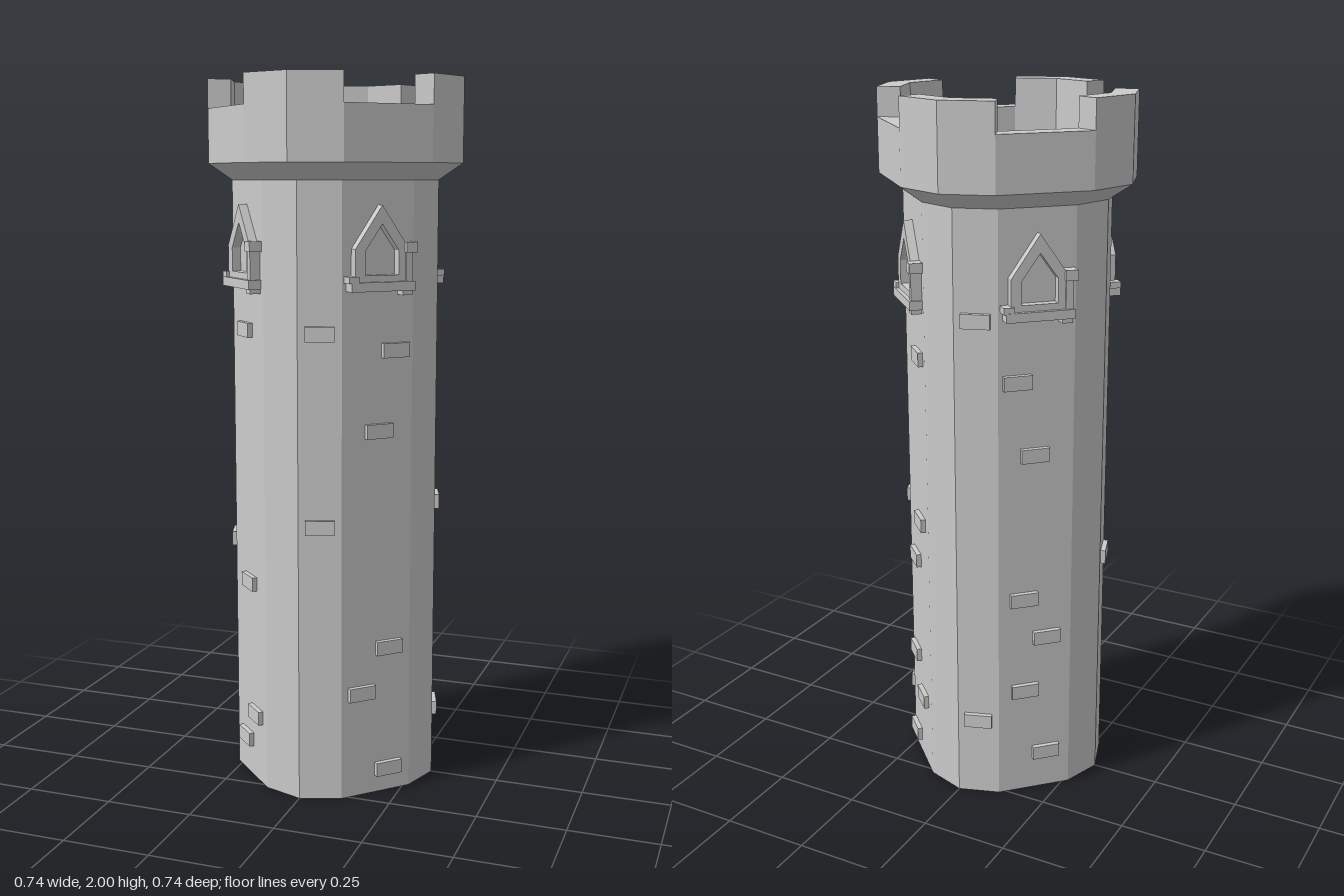
import * as THREE from 'three';

const material = new THREE.MeshStandardMaterial({ color: 0xcccccc, flatShading: true, side: THREE.DoubleSide });

// Twelve-sided plan as [x, z], starting at the front and turning towards +x
const quarter = [[0, 0.303], [0.113, 0.265], [0.265, 0.113]];
const plan = [];
for (let q = 0; q < 4; q++) {
  for (const [x, z] of quarter) {
    const c = Math.round(Math.cos(q * Math.PI / 2)), s = Math.round(Math.sin(q * Math.PI / 2));
    plan.push([x * c + z * s, z * c - x * s]);
  }
}
const CROWN = 1.225; // crown width relative to the shaft

function add(parent, name, geometry) {
  const mesh = new THREE.Mesh(geometry, material);
  mesh.name = name;
  parent.add(mesh);
  return mesh;
}

function box(parent, name, w, h, d, x, y, z) {
  return add(parent, name, new THREE.BoxGeometry(w, h, d)).position.set(x, y, z);
}

// Sweeps a [scale, height] profile round the plan
function loft(profile) {
  const positions = [];
  const n = plan.length;
  const point = (i, j) => {
    const [x, z] = plan[i % n], [s, y] = profile[j];
    return [x * s, y, z * s];
  };
  for (let j = 0; j < profile.length - 1; j++) {
    for (let i = 0; i < n; i++) {
      const a = point(i, j), b = point(i + 1, j), c = point(i + 1, j + 1), d = point(i, j + 1);
      if (profile[j][0] > 0) positions.push(...a, ...b, ...c);
      if (profile[j + 1][0] > 0) positions.push(...a, ...c, ...d);
      else if (profile[j][0] > 0) continue;
    }
  }
  const g = new THREE.BufferGeometry();
  g.setAttribute('position', new THREE.Float32BufferAttribute(positions, 3));
  g.computeVertexNormals();
  return g;
}

// Raised block of the parapet, spanning two narrow facets
function merlonGeometry() {
  const arc = [plan[11], plan[0], plan[1]];
  const pts = [
    ...arc.map(([x, z]) => new THREE.Vector2(x * CROWN, -z * CROWN)),
    ...arc.slice().reverse().map(([x, z]) => new THREE.Vector2(x, -z)),
  ];
  const g = new THREE.ExtrudeGeometry(new THREE.Shape(pts), { depth: 0.08, bevelEnabled: false });
  return g.rotateX(-Math.PI / 2).translate(0, 1.92, 0);
}

// House-shaped outline: half width, bottom, eaves and peak heights
function house(w, bottom, eaves, peak) {
  return [[-w, bottom], [w, bottom], [w, eaves], [0, peak], [-w, eaves]]
    .map(([x, y]) => new THREE.Vector2(x, y));
}

function addWindow(facet) {
  const win = new THREE.Group();
  win.name = 'window';
  facet.add(win);
  const shape = new THREE.Shape(house(0.08, 1.45, 1.545, 1.66));
  shape.holes.push(new THREE.Path(house(0.05, 1.475, 1.54, 1.61).reverse()));
  add(win, 'windowFrame', new THREE.ExtrudeGeometry(shape, { depth: 0.025, bevelEnabled: false }));
  box(win, 'windowSill', 0.19, 0.025, 0.036, 0, 1.445, 0.018);
  box(win, 'sillStone', 0.03, 0.016, 0.03, 0.075, 1.428, 0.015);
  box(win, 'cornerStone', 0.03, 0.018, 0.034, -0.087, 1.464, 0.017);
  box(win, 'jambStone', 0.02, 0.09, 0.03, 0.08, 1.5, 0.015);
  box(win, 'eavesStone', 0.034, 0.028, 0.036, 0.085, 1.548, 0.018);
}

// Per quarter turn: brick heights on the narrow facet, [across, height] on the wide one
const bricks = [
  { narrow: [1.32, 0.79], wide: [[0.052, 1.27], [0.003, 1.05], [0.038, 0.43], [-0.047, 0.305], [0.038, 0.07]] },
  { narrow: [0.815, 0.19], wide: [[0.045, 1.29], [0.038, 0.795], [-0.025, 0.66], [-0.047, 0.34], [0.03, 0.22], [-0.06, 0.06]] },
  { narrow: [1.43, 0.24], wide: [[-0.055, 1.26], [-0.005, 1.05], [-0.034, 0.62], [0.034, 0.495], [-0.03, 0.33], [0.034, 0.12]] },
  { narrow: [0.685], wide: [[-0.01, 1.315], [0.004, 0.59], [0.04, 0.2], [-0.03, 0.11]] },
];

export function createModel() {
  const tower = new THREE.Group();
  tower.name = 'tower';

  // Shaft, flared crown, parapet and sunken roof floor
  add(tower, 'towerShell', loft([
    [0, 0], [1, 0], [1, 1.725], [CROWN, 1.77], [CROWN, 1.92], [1, 1.92], [1, 1.83], [0, 1.83],
  ]));

  const merlon = merlonGeometry();
  bricks.forEach(({ narrow, wide }, q) => {
    const side = new THREE.Group();
    side.name = 'towerSide';
    side.rotation.y = q * Math.PI / 2;
    tower.add(side);
    add(side, 'merlon', merlon);

    // Narrow facet beside the corner
    const narrowFacet = new THREE.Group();
    narrowFacet.name = 'narrowFacet';
    narrowFacet.position.set(0.0565, 0, 0.284);
    narrowFacet.rotation.y = Math.atan2(0.038, 0.113);
    side.add(narrowFacet);
    narrow.forEach((y) => box(narrowFacet, 'brick', 0.08, 0.04, 0.028, 0, y, 0));

    // Wide diagonal facet with its window
    const wideFacet = new THREE.Group();
    wideFacet.name = 'wideFacet';
    wideFacet.position.set(0.189, 0, 0.189);
    wideFacet.rotation.y = Math.PI / 4;
    side.add(wideFacet);
    wide.forEach(([x, y]) => box(wideFacet, 'brick', 0.08, 0.04, 0.028, x, y, 0));
    addWindow(wideFacet);
  });

  return tower;
}
